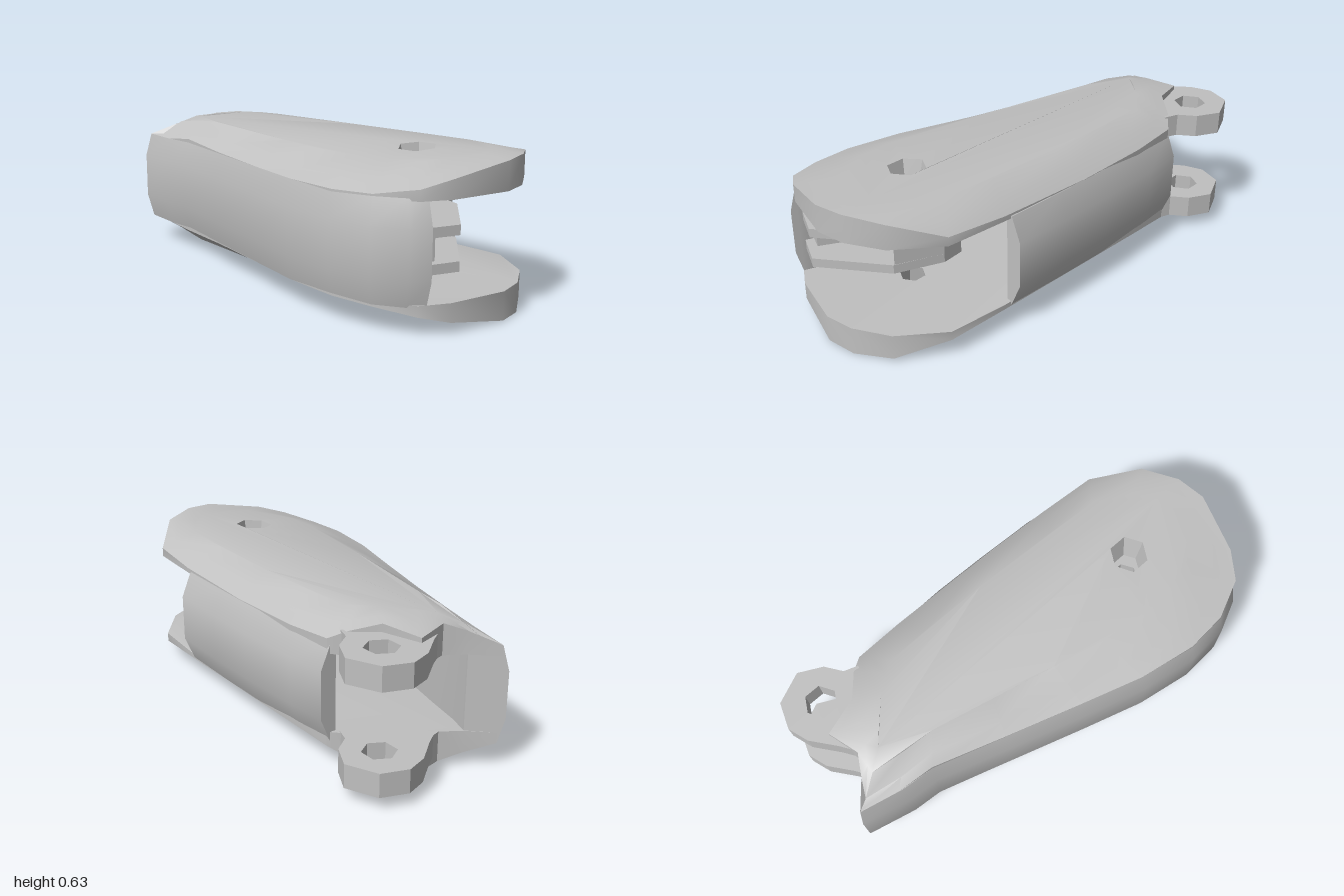
import * as THREE from 'three';
import { toCreasedNormals } from 'three/addons/utils/BufferGeometryUtils.js';

const grey = new THREE.MeshStandardMaterial({ color: 0xc0c0c0, side: THREE.DoubleSide });
grey.name = 'grey';

const V2 = (p) => new THREE.Vector2(p[0], p[1]);

function part(name, geometry) {
  const mesh = new THREE.Mesh(geometry, grey);
  mesh.name = name;
  return mesh;
}

// Collects triangles from stitched loops and flat caps
class Skin {
  constructor() { this.pos = []; }
  tri(a, b, c) { this.pos.push(...a, ...b, ...c); }
  band(a, b) {
    a.forEach((p, i) => {
      const j = (i + 1) % a.length;
      this.tri(p, a[j], b[j]);
      this.tri(p, b[j], b[i]);
    });
  }
  // Cap spanning a loop in plan, with a hole, facing up or down
  cap(loop, hole, up) {
    const flat = (l) => l.map((p) => V2([p[0], p[2]]));
    const all = [...loop, ...hole];
    for (const f of THREE.ShapeUtils.triangulateShape(flat(loop), [flat(hole)])) {
      const [a, b, c] = f.map((i) => all[i]);
      const ny = (b[2] - a[2]) * (c[0] - a[0]) - (b[0] - a[0]) * (c[2] - a[2]);
      if (ny > 0 === up) this.tri(a, b, c); else this.tri(a, c, b);
    }
  }
  geometry() {
    const g = new THREE.BufferGeometry();
    g.setAttribute('position', new THREE.Float32BufferAttribute(this.pos, 3));
    return toCreasedNormals(g, 0.6);
  }
}

// Domed outer face of the cheek plates: gentle on the long side, tight on the short side
const RIDGE = 0.08;
function crown(x, z) {
  const drop = Math.max(0, -0.65 - z) * 0.15;
  const left = Math.max(0, RIDGE - x) / (0.43 + 0.26 * Math.min(z, 0.5));
  const right = Math.max(0, x - RIDGE) / 0.34;
  return Math.max(0.525, 0.637 - 0.11 * left ** 2 - 0.11 * right ** 3 - drop);
}

// Inner face of the plates, thickening toward the hinge end
const innerY = (z) => 0.515 - 0.035 * THREE.MathUtils.clamp(0.3 - z, 0, 1);

function ringPoints(cx, cz, r, n) {
  return Array.from({ length: n }, (_, i) => {
    const a = -(i / n) * Math.PI * 2 + 0.5;
    return [cx + r * Math.cos(a), cz + r * Math.sin(a)];
  });
}

// Plan outline of a cheek plate, as x and z
const outline = [
  [-0.115, -0.97], [-0.15, -0.8], [-0.165, -0.64], [-0.26, -0.33], [-0.36, 0], [-0.44, 0.27],
  [-0.48, 0.52], [-0.465, 0.7], [-0.39, 0.86], [-0.28, 0.93], [-0.03, 1], [0.1, 0.98],
  [0.25, 0.9], [0.39, 0.72], [0.41, 0.45], [0.42, 0], [0.415, -0.35], [0.4, -0.57],
  [0.35, -0.63], [0.25, -0.71], [0.2, -0.87], [0.06, -0.83], [-0.02, -0.88],
];

function cheekPlate() {
  const skin = new Skin();
  // Ring inset by s, its height taken from the crown at k
  const ring = ([s, k]) => outline.map(([x, z]) => {
    const pz = z * (1 - (1 - s) * 0.35);
    return [RIDGE + (x - RIDGE) * s, crown(RIDGE + (x - RIDGE) * k, pz), pz];
  });
  const inner = outline.map(([x, z]) => [x, innerY(z), z]);
  const rings = [[1, 1], [0.85, 0.83], [0.6, 0.45]].map(ring);
  const holeIn = ringPoints(-0.02, 0.57, 0.055, 6).map(([x, z]) => [x, innerY(z), z]);
  const holeOut = ringPoints(-0.02, 0.57, 0.082, 6).map(([x, z]) => [x, crown(x, z), z]);
  skin.cap(inner, holeIn, false);
  skin.band(inner, rings[0]);
  skin.band(rings[0], rings[1]);
  skin.band(rings[1], rings[2]);
  skin.cap(rings[2], holeOut, true);
  skin.band(holeOut, holeIn);
  return skin.geometry();
}

// Bulging side wall; each station gives outer x, z and inner x, z
function sideWall(stations, bulge) {
  const skin = new Skin();
  const loops = stations.map(([x, z, ix, iz]) => {
    const k = bulge / Math.hypot(x - ix, z - iz);
    const bx = x + (x - ix) * k, bz = z + (z - iz) * k;
    return [[x, 0.525, z], [bx, 0.42, bz], [bx, 0.22, bz], [x, 0.115, z], [ix, 0.115, iz], [ix, 0.525, iz]];
  });
  for (let i = 1; i < loops.length; i++) skin.band(loops[i - 1], loops[i]);
  const first = loops[0], last = loops[loops.length - 1];
  for (let k = 1; k < 5; k++) {
    skin.tri(first[0], first[k + 1], first[k]);
    skin.tri(last[0], last[k], last[k + 1]);
  }
  return skin.geometry();
}

// Flat piece with a plan outline, from y0 to y1
function slab(points, hole, y0, y1) {
  const flip = ([x, z]) => V2([x, -z]);
  const shape = new THREE.Shape(points.map(flip));
  if (hole) shape.holes.push(new THREE.Path(hole.map(flip)));
  const g = new THREE.ExtrudeGeometry(shape, { depth: y1 - y0, bevelEnabled: false });
  g.rotateX(-Math.PI / 2);
  g.translate(0, y0, 0);
  return g;
}

export function createModel() {
  const model = new THREE.Group();
  model.name = 'hollowLink';

  // Cheek plates and hinge lugs, mirrored top to bottom
  const lug = [
    [0.12, -0.66], [0.08, -0.83], [0.14, -0.87], [0.24, -0.95], [0.33, -0.98], [0.44, -0.94],
    [0.5, -0.81], [0.45, -0.71], [0.38, -0.66], [0.36, -0.6],
  ];
  for (const side of ['upper', 'lower']) {
    const half = new THREE.Group();
    half.name = side + 'Half';
    half.add(part(side + 'Plate', cheekPlate()));
    half.add(part(side + 'HingeLug', slab(lug, ringPoints(0.335, -0.81, 0.07, 6), 0.48, 0.58)));
    if (side === 'lower') {
      half.scale.y = -1;
      half.position.y = 0.64;
    }
    model.add(half);
  }

  // Side walls; the long one curls around the front corner
  model.add(part('longSideWall', sideWall([
    [-0.36, 0.875, -0.345, 0.83], [-0.41, 0.82, -0.345, 0.74], [-0.465, 0.7, -0.35, 0.66],
    [-0.478, 0.52, -0.36, 0.5], [-0.44, 0.27, -0.345, 0.25], [-0.36, 0, -0.26, 0],
    [-0.26, -0.33, -0.18, -0.33], [-0.165, -0.64, -0.1, -0.62], [-0.155, -0.78, -0.06, -0.78],
    [-0.115, -0.97, -0.025, -0.88],
  ], 0.028)));
  model.add(part('shortSideWall', sideWall([
    [0.39, -0.58, 0.365, -0.58], [0.405, -0.4, 0.37, -0.4], [0.42, -0.1, 0.375, -0.1],
    [0.42, 0.15, 0.385, 0.15], [0.415, 0.42, 0.39, 0.42],
  ], 0.045)));

  // Inner fork: two prongs joined by a recessed web and a solid end block
  const prong = [
    [-0.42, 0.8], [-0.35, 0.86], [-0.22, 0.92], [0.05, 0.72], [0.13, 0.52], [0.12, 0.42], [-0.4, 0.42],
  ];
  const web = [
    [-0.4, 0.8], [-0.28, 0.85], [-0.2, 0.7], [-0.06, 0.46], [0.05, 0.58], [0.1, 0.52], [0.1, 0.42], [-0.4, 0.42],
  ];
  const block = [[0.05, 0.715], [0.13, 0.52], [0.12, 0.42], [0.05, 0.42]];
  const fork = new THREE.Group();
  fork.name = 'innerFork';
  for (const y of [0.23, 0.37]) {
    fork.add(part('forkProng', slab(prong, ringPoints(-0.02, 0.57, 0.06, 6), y, y + 0.04)));
  }
  fork.add(part('forkWeb', slab(web, null, 0.265, 0.375)));
  fork.add(part('forkEndBlock', slab(block, null, 0.231, 0.409)));
  model.add(fork);
  return model;
}
